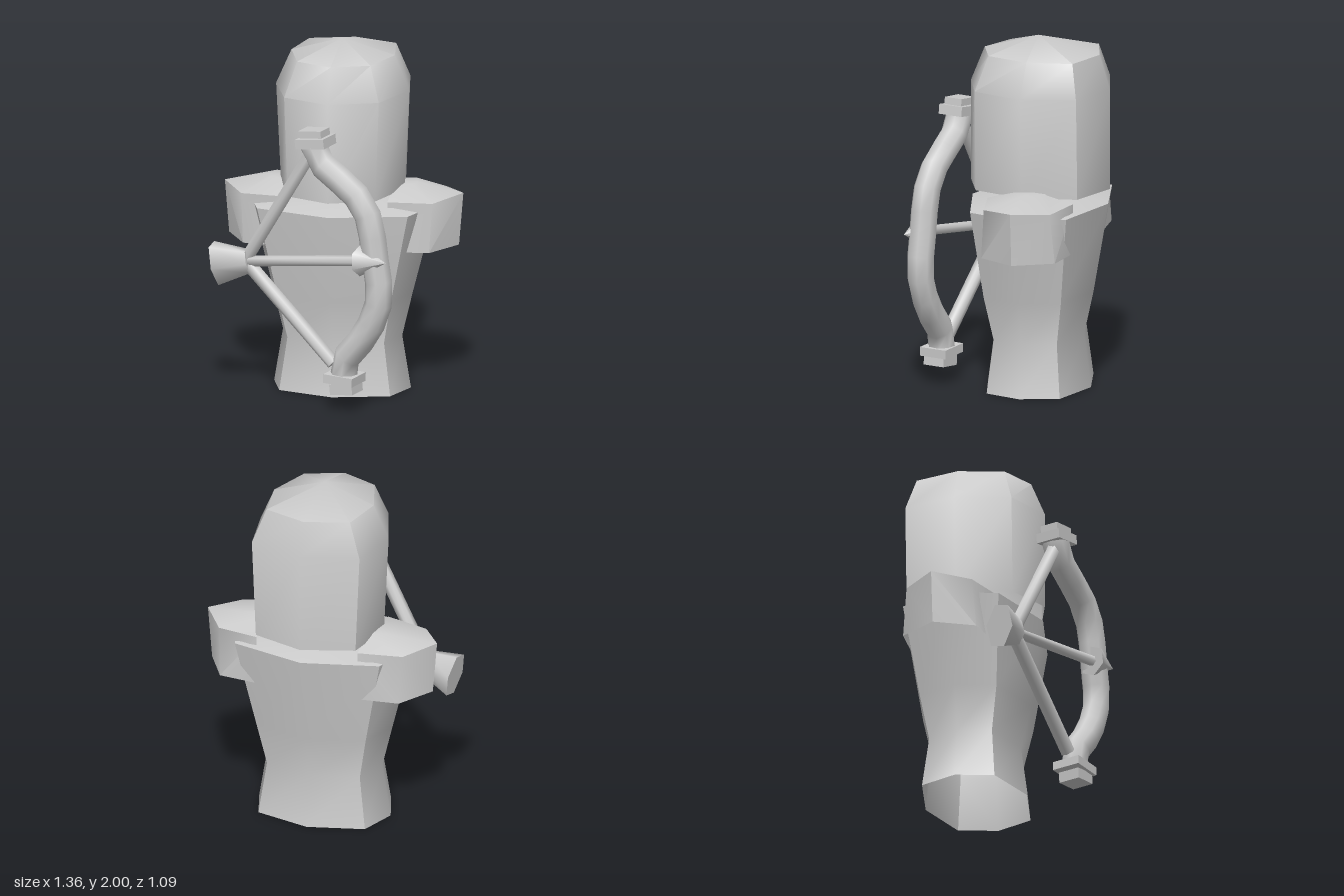
import * as THREE from 'three';
import { toCreasedNormals } from 'three/addons/utils/BufferGeometryUtils.js';

const material = new THREE.MeshStandardMaterial({ color: 0xcccccc, side: THREE.DoubleSide });

function mesh(name, geometry, parent) {
  const m = new THREE.Mesh(geometry, material);
  m.name = name;
  parent.add(m);
  return m;
}

// Skin between rows of points, rows running upwards
function loft(rows, closed, crease = 0.9) {
  const n = rows[0].length;
  const index = [];
  for (let j = 0; j < rows.length - 1; j++) {
    for (let i = 0; i < (closed ? n : n - 1); i++) {
      const a = j * n + i, b = j * n + (i + 1) % n;
      index.push(a, b, b + n, a, b + n, a + n);
    }
  }
  const g = new THREE.BufferGeometry();
  g.setAttribute('position', new THREE.Float32BufferAttribute(rows.flat(2), 3));
  g.setIndex(index);
  return toCreasedNormals(g, crease);
}

// Eight-sided ring: half width, front z, back z, with corner positions as fractions
function ring(y, w, front, back, frontCorner, backCorner) {
  const c = (front + back) / 2, d = (front - back) / 2;
  const [fx, fz] = frontCorner, [bx, bz] = backCorner;
  return [[0, 1], [fx, fz], [1, 0], [bx, -bz], [0, -1], [-bx, -bz], [-1, 0], [-fx, fz]]
    .map(([x, z]) => [x * w, y, c + z * d]);
}

// Point in the slanted plane of the bow
const bowPoint = (x, y, dz = 0) => new THREE.Vector3(x, y, 0.36 + 0.27 * x + dz);

// Straight tapered rod between two points
function rod(name, a, b, ra, rb, sides, parent) {
  const dir = b.clone().sub(a);
  const m = mesh(name, toCreasedNormals(new THREE.CylinderGeometry(rb, ra, dir.length(), sides), 1.1), parent);
  m.position.copy(a).add(b).multiplyScalar(0.5);
  m.quaternion.setFromUnitVectors(new THREE.Vector3(0, 1, 0), dir.normalize());
  return m;
}

export function createModel() {
  const model = new THREE.Group();
  model.name = 'archer';

  // Waisted body, open below
  const body = [
    [0, 0.39, 0.16, -0.44], [0.3, 0.34, 0.12, -0.4], [0.55, 0.40, 0.18, -0.455],
    [1.06, 0.53, 0.25, -0.54], [1.11, 0.3, 0.06, -0.36], [1.12, 0, -0.15, -0.15],
  ].map(([y, w, f, b]) => ring(y, w, f, b, [0.81, 0.7], [0.81, 0.72]));
  mesh('body', loft(body, true), model);

  // Domed head
  const head = [
    [1.145, 0.352, 0.26, -0.55], [1.715, 0.38, 0.26, -0.55],
    [1.91, 0.295, 0.18, -0.49], [2, 0, -0.135, -0.135],
  ].map(([y, w, f, b]) => ring(y, w, f, b, [0.71, 0.74], [0.84, 0.76]));
  mesh('head', loft(head, true), model);

  // Shoulder pads, open below
  const pad = loft([
    [[0.3, 0.83, 0.06], [0.53, 0.83, 0.035], [0.655, 0.83, -0.18], [0.53, 0.83, -0.395], [0.3, 0.83, -0.42]],
    [[0.3, 1.12, 0.07], [0.545, 1.11, 0.015], [0.68, 1.13, -0.18], [0.545, 1.11, -0.37], [0.3, 1.12, -0.43]],
    [[0.3, 1.17, -0.1], [0.4, 1.18, -0.12], [0.42, 1.18, -0.18], [0.4, 1.18, -0.26], [0.3, 1.17, -0.28]],
    Array(5).fill([0.3, 1.18, -0.18]),
  ], false);
  for (const [name, side] of [['leftShoulderPad', 1], ['rightShoulderPad', -1]]) {
    mesh(name, pad, model).scale.x = side;
  }

  const bow = new THREE.Group();
  bow.name = 'bow';
  model.add(bow);

  // Curved bow limb
  const limb = new THREE.CatmullRomCurve3([
    [-0.06, 1.5], [-0.04, 1.43], [0.2, 1.24], [0.27, 1.13], [0.31, 0.9],
    [0.335, 0.66], [0.26, 0.46], [0.12, 0.27], [0.12, 0.19],
  ].map(([x, y]) => bowPoint(x, y)));
  mesh('bowLimb', new THREE.TubeGeometry(limb, 12, 0.078, 8), bow);

  // Collars and end knobs
  for (const [name, x, y, w, h, d, tilt] of [
    ['topCollar', -0.05, 1.525, 0.18, 0.055, 0.15, 0.13],
    ['topKnob', -0.058, 1.575, 0.14, 0.04, 0.11, 0.1],
    ['bottomCollar', 0.125, 0.185, 0.18, 0.05, 0.17, -0.04],
    ['bottomKnob', 0.135, 0.13, 0.14, 0.06, 0.13, 0.1],
  ]) {
    const m = mesh(name, new THREE.BoxGeometry(w, h, d), bow);
    m.position.copy(bowPoint(x, y));
    m.rotation.set(0, -0.264, tilt, 'YXZ');
  }

  // Drawn string
  rod('upperString', bowPoint(-0.47, 0.79), bowPoint(-0.08, 1.45), 0.04, 0.04, 6, bow);
  rod('lowerString', bowPoint(-0.47, 0.78), bowPoint(0.06, 0.26), 0.04, 0.04, 6, bow);

  // Arrow with pointed head and flared tail
  const arrow = new THREE.Group();
  arrow.name = 'arrow';
  model.add(arrow);
  const tail = new THREE.Vector3(-0.45, 0.786, 0.25);
  const neck = new THREE.Vector3(0.23, 0.885, 0.46);
  rod('arrowShaft', tail, neck, 0.03, 0.03, 6, arrow);
  rod('arrowHead', neck, new THREE.Vector3(0.39, 0.895, 0.53), 0.09, 0, 6, arrow);
  rod('arrowTail', new THREE.Vector3(-0.645, 0.752, 0.21), tail, 0.135, 0.075, 6, arrow).scale.z = 0.62;

  return model;
}
